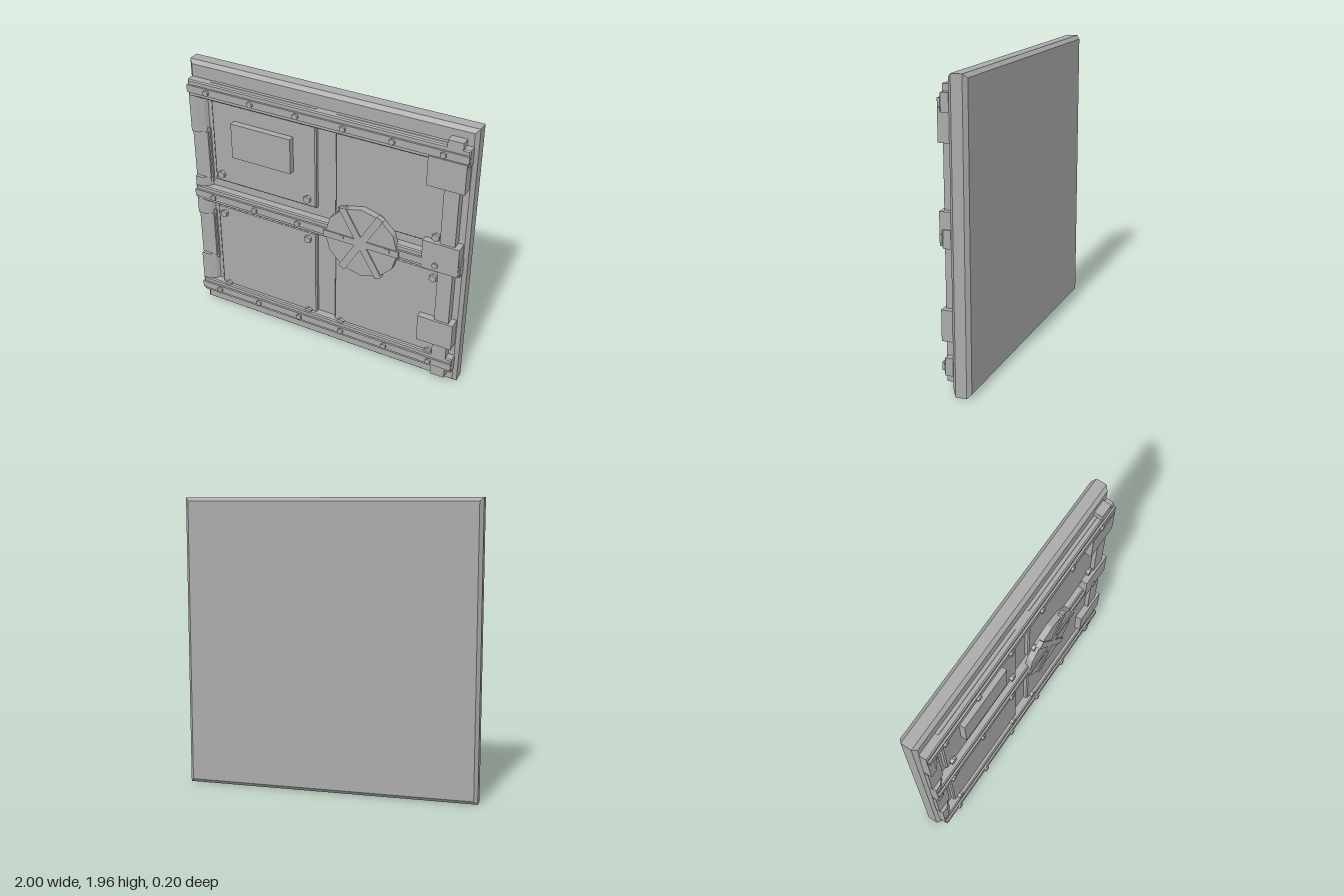
import * as THREE from 'three';

export function createModel() {
  const group = new THREE.Group();
  group.name = 'vaultDoor';
  const steel = new THREE.MeshStandardMaterial({ color: 0xaaaaaa });
  steel.name = 'steelGrey';
  steel.flatShading = true;
  const FACE = 0.015; // front face of the slab

  function add(name, geometry, x = 0, y = 0, z = 0, parent = group) {
    const mesh = new THREE.Mesh(geometry, steel);
    mesh.name = name;
    mesh.position.set(x, y, z);
    parent.add(mesh);
    return mesh;
  }

  // Box given by its limits
  function box(name, x0, x1, y0, y1, z0, z1) {
    return add(name, new THREE.BoxGeometry(x1 - x0, y1 - y0, z1 - z0),
      (x0 + x1) / 2, (y0 + y1) / 2, (z0 + z1) / 2);
  }

  // Rectangular plate whose front edge, and optionally back edge, is chamfered
  function chamferedPlate(name, x0, x1, y0, y1, z0, z1, c, bothSides = false) {
    const rings = bothSides
      ? [[z0, c], [z0 + c, 0], [z1 - c, 0], [z1, c]]
      : [[z0, 0], [z1 - c, 0], [z1, c]];
    const pos = [], idx = [];
    for (const [z, i] of rings) {
      pos.push(x0 + i, y0 + i, z, x1 - i, y0 + i, z, x1 - i, y1 - i, z, x0 + i, y1 - i, z);
    }
    for (let r = 0; r < rings.length - 1; r++) {
      for (let k = 0; k < 4; k++) {
        const a = r * 4 + k, b = r * 4 + (k + 1) % 4;
        idx.push(a, b, b + 4, a, b + 4, a + 4);
      }
    }
    const t = (rings.length - 1) * 4;
    idx.push(0, 2, 1, 0, 3, 2, t, t + 1, t + 2, t, t + 2, t + 3);
    const indexed = new THREE.BufferGeometry();
    indexed.setAttribute('position', new THREE.Float32BufferAttribute(pos, 3));
    indexed.setIndex(idx);
    const geometry = indexed.toNonIndexed();
    geometry.computeVertexNormals();
    return add(name, geometry);
  }

  // Hexagonal bolt pointing forwards
  function bolt(name, x, y, z0, z1, radius) {
    const geometry = new THREE.CylinderGeometry(radius, radius, z1 - z0, 6);
    geometry.rotateX(Math.PI / 2);
    add(name, geometry, x, y, (z0 + z1) / 2);
  }

  // Door slab
  chamferedPlate('doorSlab', -1, 1, 0, 1.96, -0.105, FACE, 0.024, true);

  // Four raised panels with corner bolts
  for (const [x0, x1] of [[-0.825, -0.05], [0.09, 0.86]]) {
    for (const [y0, y1] of [[1.115, 1.85], [0.12, 0.91]]) {
      chamferedPlate('panel', x0, x1, y0, y1, FACE, 0.045, 0.008);
      for (const x of [x0 + 0.055, x1 - 0.06]) {
        for (const y of y0 > 1 ? [1.175] : [0.235, 0.855]) {
          bolt('panelBolt', x, y, 0.044, 0.068, 0.027);
        }
      }
    }
  }
  box('plaque', -0.655, -0.215, 1.355, 1.61, 0.044, 0.088);

  // Horizontal rails with a centre ridge and bolts
  for (const y of [0.18, 0.985, 1.79]) {
    chamferedPlate('rail', -0.98, 0.98, y - 0.058, y + 0.058, FACE, 0.073, 0.008);
    box('railRidge', -0.98, 0.98, y - 0.026, y + 0.026, 0.07, 0.086);
    for (let i = 0; i < 6; i++) bolt('railBolt', -0.83 + i * 0.33, y, 0.08, 0.1, 0.021);
  }

  // Locking post and its clamps
  box('lockPost', 0.835, 0.935, 0.065, 1.89, FACE, 0.074);
  for (const [y0, y1] of [[0.34, 0.54], [0.94, 1.15], [1.555, 1.76]]) {
    box('clamp', 0.725, 0.972, y0, y1, FACE, 0.09);
  }

  // Hinge knuckles with sloping sides, and flat hinge leaves between them
  const profile = new THREE.Shape([
    [-0.98, 0.01], [-0.865, 0.01], [-0.885, 0.04], [-0.93, 0.068], [-0.98, 0.068],
  ].map(([x, z]) => new THREE.Vector2(x, -z)).reverse());
  for (const [y0, y1] of [[0.22, 0.455], [0.81, 1.11], [1.465, 1.74]]) {
    const geometry = new THREE.ExtrudeGeometry(profile, { depth: y1 - y0, bevelEnabled: false });
    geometry.rotateX(-Math.PI / 2);
    add('hingeKnuckle', geometry, 0, y0, 0);
  }
  for (const y of [0.455, 1.11]) {
    box('hingeLeaf', -0.985, -0.87, y, y + 0.355, FACE, 0.045);
    box('hingeBase', -0.9, -0.86, y - 0.03, y + 0.385, FACE, 0.03);
  }

  // Hand wheel with six raised spokes
  const wheel = new THREE.Group();
  wheel.name = 'handWheel';
  wheel.position.set(0.3, 0.98, 0);
  group.add(wheel);
  const disc = new THREE.CylinderGeometry(0.26, 0.26, 0.045, 12);
  disc.rotateX(Math.PI / 2);
  add('wheelDisc', disc, 0, 0, 0.0675, wheel);
  for (let i = 0; i < 3; i++) {
    const spoke = add('wheelSpoke', new THREE.BoxGeometry(0.54, 0.05, 0.035), 0, 0, 0.0805, wheel);
    spoke.rotation.z = i * Math.PI / 3;
  }
  return group;
}
